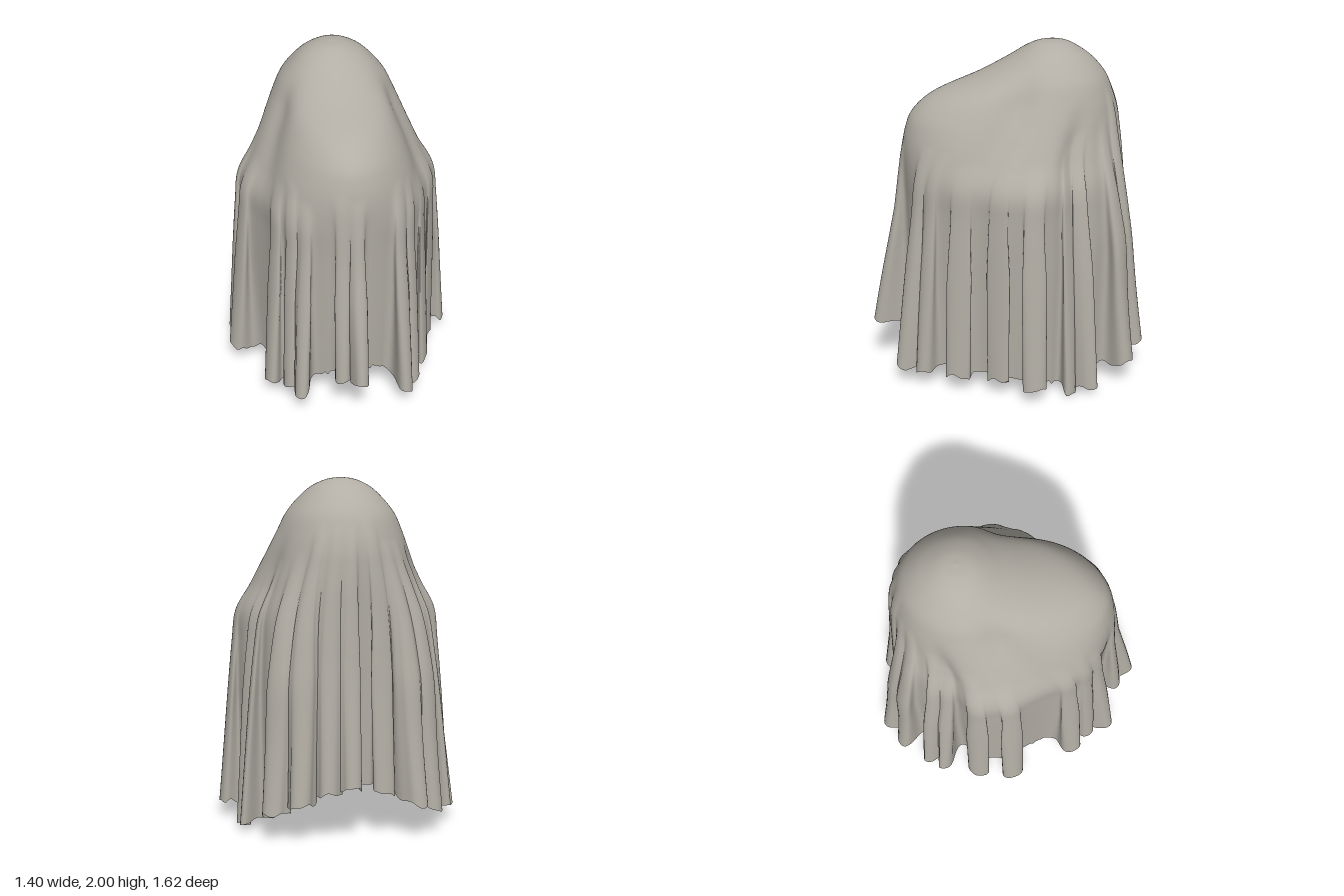
import * as THREE from 'three';

// Body under the cloth, top to hem:
// y, half width, front z, back z, z of widest point, front roundness, back roundness
const SECTIONS = [
  [2.0, 0.0005, -0.2795, -0.2805, -0.28, 2, 2],
  [1.988, 0.08, -0.19, -0.365, -0.28, 2, 2],
  [1.95, 0.165, -0.11, -0.44, -0.27, 2, 2],
  [1.89, 0.235, -0.01, -0.52, -0.26, 1.95, 2],
  [1.8, 0.31, 0.17, -0.595, -0.25, 1.9, 2],
  [1.7, 0.36, 0.42, -0.635, -0.23, 1.85, 2],
  [1.6, 0.405, 0.54, -0.655, -0.2, 1.9, 2],
  [1.5, 0.45, 0.585, -0.66, -0.16, 1.95, 2],
  [1.38, 0.505, 0.605, -0.66, -0.12, 1.95, 2.05],
  [1.23, 0.575, 0.605, -0.655, -0.09, 1.9, 2.1],
  [1.05, 0.58, 0.6, -0.65, -0.08, 1.85, 2.25],
  [0.75, 0.575, 0.595, -0.64, -0.08, 1.85, 2.45],
  [0.38, 0.565, 0.59, -0.635, -0.08, 1.85, 2.55],
  [0, 0.555, 0.58, -0.63, -0.08, 1.85, 2.6],
];

// Hem position (x, z) of each hanging fold
const FOLD_TIPS = [
  [0.02, 0.81], [-0.09, 0.73], [-0.34, 0.68], [-0.4, 0.55], [-0.51, 0.45],
  [-0.7, 0.05], [-0.69, -0.19], [-0.65, -0.42], [-0.61, -0.52], [-0.49, -0.71],
  [-0.37, -0.81], [-0.17, -0.75], [0.03, -0.81], [0.17, -0.8], [0.34, -0.8],
  [0.49, -0.71], [0.62, -0.45], [0.61, -0.33], [0.7, -0.1], [0.57, 0.11],
  [0.5, 0.35], [0.4, 0.56], [0.33, 0.68],
];

const COLUMNS = 680, ROWS_PER_SECTION = 6, HEM_Z = -0.08;
const wrap = (a) => Math.atan2(Math.sin(a), Math.cos(a));
const gauss = (d, width) => Math.exp(-(d * d) / (width * width));

// Distance from the section centre to the draped outline at one angle
function outline(angle, [y, w, zf, zb, zc, nFront, nBack]) {
  const front = Math.cos(angle) > 0;
  const n = front ? nFront : nBack;
  const depth = front ? zf - zc : zc - zb;
  const sum = Math.abs(Math.sin(angle) / w) ** n + Math.abs(Math.cos(angle) / depth) ** n;
  // Hollows on the flanks, ahead of and behind the side bulges
  const side = Math.abs(wrap(angle));
  const waist = 0.04 * gauss(side - 1.03, 0.3) * THREE.MathUtils.smoothstep(1.9 - y, 0, 0.25);
  const crease = 0.06 * gauss(side - 2.02, 0.17) * THREE.MathUtils.smoothstep(1.75 - y, 0, 0.5);
  return sum ** (-1 / n) - waist - crease;
}

// Uneven hem: raised at front and back, lowest at one rear corner
function hemHeight(a) {
  const lift = 0.18 * gauss(wrap(a), 0.38) + 0.2 * Math.max(0, -Math.cos(a)) ** 6;
  const dips = 0.05 * gauss(wrap(a - 0.43), 0.1) + 0.085 * gauss(wrap(a - 2.0), 0.2);
  const ragged = 0.012 * Math.sin(a * 31) + 0.008 * Math.sin(a * 67 + 1) + 0.005 * Math.sin(a * 113);
  return 0.09 + lift - dips + ragged;
}

function makeFolds() {
  const angles = FOLD_TIPS.map(([x, z]) => Math.atan2(x, z - HEM_Z));
  return FOLD_TIPS.map(([x, z], i) => {
    const angle = angles[i];
    const gaps = angles.filter((_, j) => j !== i).map((b) => Math.abs(wrap(angle - b)));
    const base = outline(angle, SECTIONS[SECTIONS.length - 1]);
    return {
      angle,
      width: Math.min(0.2, 0.78 * Math.min(...gaps)),
      depth: Math.hypot(x, z - HEM_Z) - base,
      start: 1.42 + 0.35 * Math.max(0, -Math.cos(angle)) ** 2 + 0.05 * Math.sin(i * 2.4),
    };
  });
}

function clothGeometry() {
  const folds = makeFolds();
  const stride = SECTIONS[0].length;
  const spline = new THREE.CubicInterpolant(
    SECTIONS.map((_, i) => i), SECTIONS.flat(), stride, new Float32Array(stride));
  const rows = (SECTIONS.length - 1) * ROWS_PER_SECTION;
  const positions = [], indices = [];

  for (let r = 0; r <= rows; r++) {
    const section = [...spline.evaluate(r / ROWS_PER_SECTION)];
    const level = section[0], zc = section[4];
    for (let k = 0; k < COLUMNS; k++) {
      const a = (k / COLUMNS) * Math.PI * 2;
      let shifted = a, outX = 0, outZ = 0;

      // Folds deepen downward and swell into a narrow-necked bulb
      for (const f of folds) {
        const s = wrap(a - f.angle) / f.width;
        const grow = Math.max(0, (f.start - level) / f.start);
        if (Math.abs(s) >= 1 || grow === 0) continue;
        shifted += f.width * 0.34 * Math.min(1, grow * 2) * Math.sin(2 * Math.PI * s);
        const out = f.depth * grow * (1 + Math.cos(Math.PI * s)) / 2;
        outX += Math.sin(f.angle) * out;
        outZ += Math.cos(f.angle) * out;
      }

      // Slight elbow-like bulges at the rear corners
      const elbow = 0.03 * gauss(Math.abs(wrap(a)) - 2.55, 0.18) * gauss(level - 0.9, 0.35);
      const radius = outline(shifted, section) + elbow;
      const hem = hemHeight(a);
      const y = level < 1 ? hem + (1 - hem) * level : level;
      positions.push(Math.sin(shifted) * radius + outX, y, zc + Math.cos(shifted) * radius + outZ);

      if (r < rows) {
        const next = (k + 1) % COLUMNS;
        const p = r * COLUMNS + k, q = r * COLUMNS + next;
        indices.push(p, p + COLUMNS, q, q, p + COLUMNS, q + COLUMNS);
      }
    }
  }

  const geometry = new THREE.BufferGeometry();
  geometry.setAttribute('position', new THREE.Float32BufferAttribute(positions, 3));
  geometry.setIndex(indices);
  geometry.computeVertexNormals();
  return geometry;
}

export function createModel() {
  const clothGrey = new THREE.MeshStandardMaterial({ color: 0xb2aea5, side: THREE.DoubleSide });
  clothGrey.name = 'clothGrey';
  const cloth = new THREE.Mesh(clothGeometry(), clothGrey);
  cloth.name = 'drapedCloth';
  const model = new THREE.Group();
  model.name = 'drapedSheet';
  model.add(cloth);
  return model;
}
